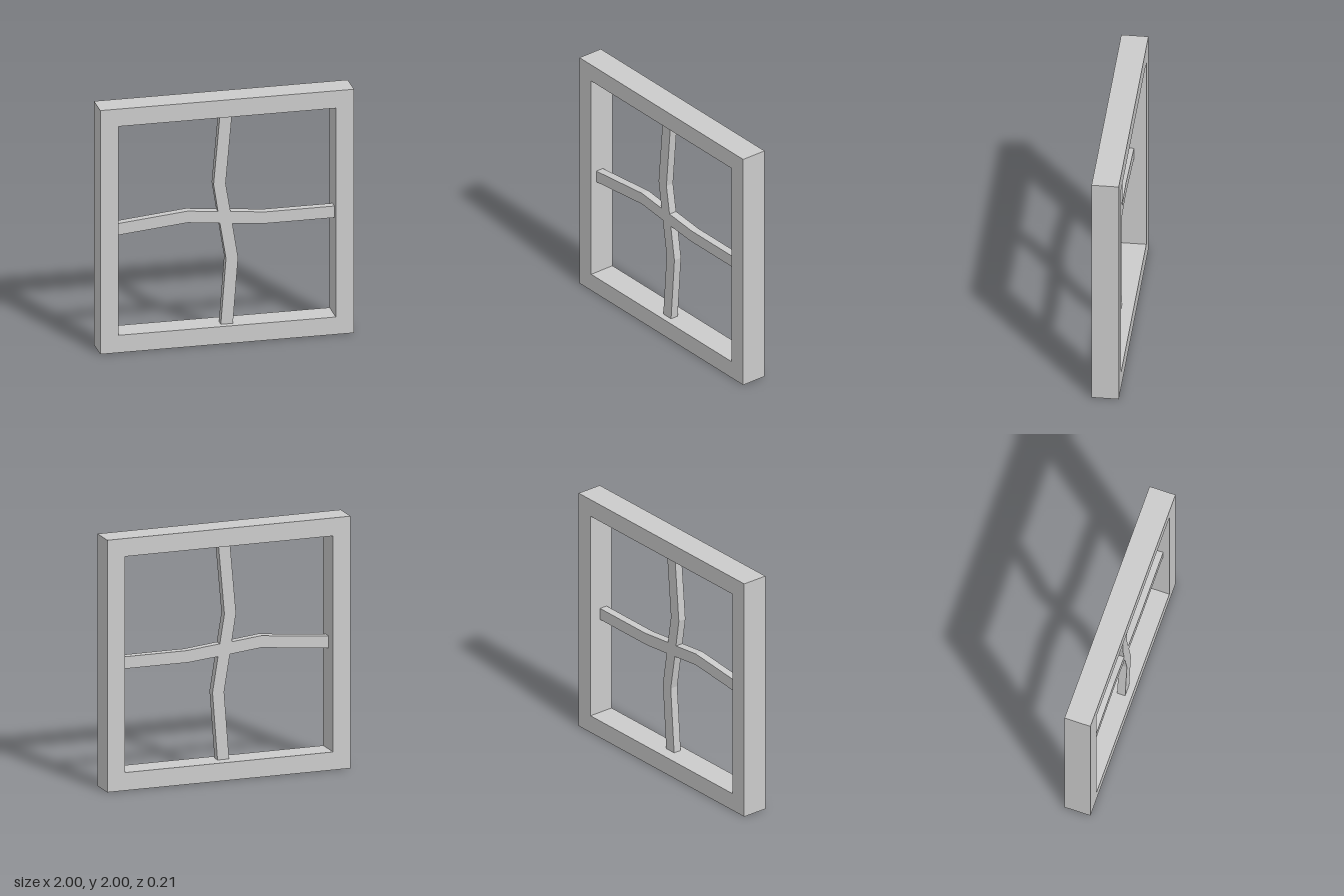
import * as THREE from 'three';

const OUTER = 1, INNER = 0.857;      // half sizes of the frame and its opening
const FRAME_DEPTH = 0.21;
const BAR_BACK = -0.01, BAR_DEPTH = 0.065;

const toPoints = (list) => list.map(([x, y]) => new THREE.Vector2(x, y));
const square = (r) => toPoints([[-r, 1 - r], [r, 1 - r], [r, 1 + r], [-r, 1 + r]]);

function extrude(name, shape, back, depth, material) {
  const geometry = new THREE.ExtrudeGeometry(shape, { depth, bevelEnabled: false });
  geometry.translate(0, 0, back);
  const mesh = new THREE.Mesh(geometry, material);
  mesh.name = name;
  return mesh;
}

export function createModel() {
  const group = new THREE.Group();
  group.name = 'window';
  const material = new THREE.MeshStandardMaterial({ color: 0xcccccc, flatShading: true });

  // Square outer frame with an open middle
  const frame = new THREE.Shape(square(OUTER));
  frame.holes.push(new THREE.Path(square(INNER)));
  group.add(extrude('frame', frame, -FRAME_DEPTH / 2, FRAME_DEPTH, material));

  // Crooked cross of glazing bars, outlined one corner-to-corner run per quarter
  const bars = new THREE.Shape(toPoints([
    // upper left
    [-INNER, 1.04], [-0.3, 1.095], [-0.06, 1.07], [-0.095, 1.295], [-0.045, 1 + INNER],
    // upper right
    [0.05, 1 + INNER], [0, 1.295], [0.038, 1.063], [0.31, 1.035], [INNER, 1.035],
    // lower right
    [INNER, 0.94], [0.295, 0.94], [0.053, 0.963], [0.098, 0.68], [0.057, 1 - INNER],
    // lower left
    [-0.038, 1 - INNER], [0.003, 0.68], [-0.045, 0.973], [-0.3, 1], [-INNER, 0.945],
  ]));
  group.add(extrude('glazingBars', bars, BAR_BACK, BAR_DEPTH, material));

  return group;
}
